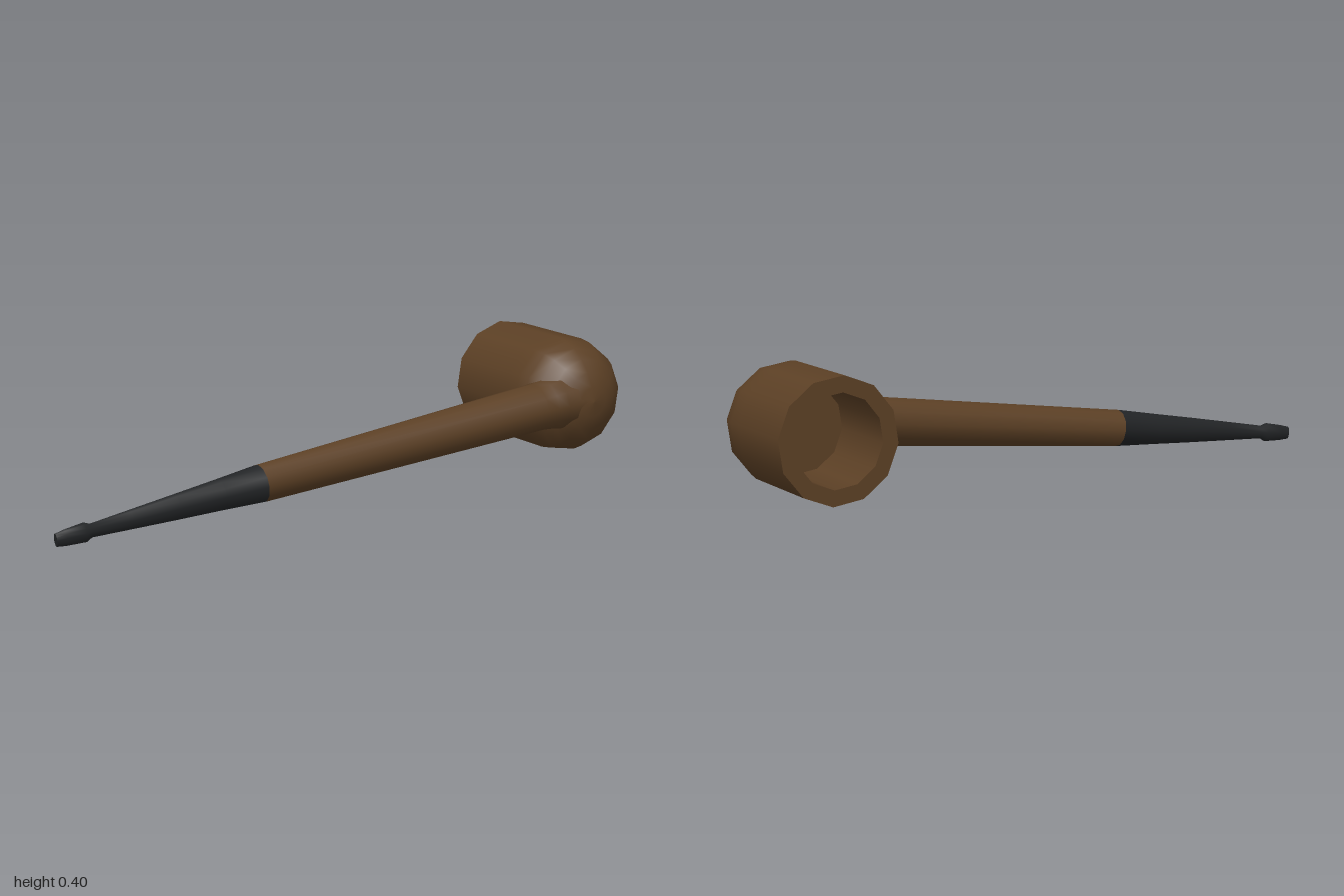
import * as THREE from 'three';
import { toCreasedNormals } from 'three/addons/utils/BufferGeometryUtils.js';

const SIDES = 12;

// Straight centre line shared by the stem and mouthpiece, given by z
const axisPoint = z => new THREE.Vector3(0.31 - 0.532 * (z + 0.51), 0.209 - 0.1244 * (z + 0.51), z);
const along = new THREE.Vector3(-0.532, -0.1244, 1).normalize();
const across = new THREE.Vector3(0, 1, 0).cross(along).normalize();
const upward = along.clone().cross(across);

// Skin elliptical sections [z, half width, half height] along the centre line
function loft(sections, capEnd) {
  const pos = [], index = [];
  for (const [z, w, h] of sections) {
    for (let i = 0; i < SIDES; i++) {
      const a = (i / SIDES) * Math.PI * 2;
      const p = axisPoint(z)
        .addScaledVector(across, w * Math.cos(a))
        .addScaledVector(upward, h * Math.sin(a));
      pos.push(p.x, p.y, p.z);
    }
  }
  for (let r = 0; r < sections.length - 1; r++) {
    for (let i = 0; i < SIDES; i++) {
      const a = r * SIDES + i, b = r * SIDES + (i + 1) % SIDES;
      index.push(a, b, b + SIDES, a, b + SIDES, a + SIDES);
    }
  }
  if (capEnd) {
    const first = (sections.length - 1) * SIDES;
    for (let i = 1; i < SIDES - 1; i++) index.push(first, first + i, first + i + 1);
  }
  const g = new THREE.BufferGeometry();
  g.setAttribute('position', new THREE.Float32BufferAttribute(pos, 3));
  g.setIndex(index);
  g.computeVertexNormals();
  return g;
}

export function createModel() {
  const wood = new THREE.MeshStandardMaterial({ color: 0x5c4025 });
  wood.name = 'brown wood';
  const black = new THREE.MeshStandardMaterial({ color: 0x222426 });
  black.name = 'black mouthpiece';

  const model = new THREE.Group();
  model.name = 'smokingPipe';
  const add = (parent, name, geometry, material) => {
    const mesh = new THREE.Mesh(geometry, material);
    mesh.name = name;
    parent.add(mesh);
  };

  // Bowl lies on its side: local y points out of the opening, local z is up
  const bowl = new THREE.Group();
  bowl.name = 'bowl';
  const c = Math.cos(0.513), s = Math.sin(0.513);
  const frame = new THREE.Matrix4().makeBasis(
    new THREE.Vector3(s, 0, -c), new THREE.Vector3(-c, 0, -s), new THREE.Vector3(0, 1, 0));
  bowl.quaternion.setFromRotationMatrix(frame);
  bowl.position.set(0.307, 0.22, -0.678);
  model.add(bowl);

  const R = 0.186, HOLE = 0.138, TOP = 0.33, FLOOR = 0.06;
  const turn = points => new THREE.LatheGeometry(
    points.map(([r, y]) => new THREE.Vector2(r, y)), SIDES, -Math.PI / 30);

  // Domed outer wall
  const shell = [];
  for (let i = 0; i <= 6; i++) {
    const a = (i / 6) * Math.PI / 2;
    shell.push([R * Math.sin(a), -0.175 * Math.cos(a)]);
  }
  shell.push([R, 0.05], [R, TOP]);
  add(bowl, 'bowlWall', turn(shell), wood);

  // Rim and hollow chamber, separate so the edges stay sharp
  add(bowl, 'bowlRim', turn([[R, TOP], [HOLE, TOP]]), wood);
  add(bowl, 'chamberWall', turn([[HOLE, TOP], [HOLE, FLOOR]]), wood);
  add(bowl, 'chamberFloor', turn([[HOLE, FLOOR], [0, FLOOR]]), wood);

  // Tapered stem, flared where it enters the bowl
  add(model, 'stem', loft([
    [-0.62, 0.09, 0.09], [-0.555, 0.09, 0.09], [-0.525, 0.082, 0.082],
    [-0.49, 0.077, 0.077], [0.4, 0.055, 0.058],
  ], false), wood);

  // Mouthpiece flattens toward a raised lip
  add(model, 'mouthpiece', toCreasedNormals(loft([
    [0.4, 0.055, 0.058], [0.52, 0.041, 0.049], [0.65, 0.028, 0.04],
    [0.78, 0.02, 0.03], [0.895, 0.015, 0.021],
    [0.912, 0.021, 0.03], [0.965, 0.014, 0.025], [0.992, 0.011, 0.02],
  ], true), 0.8), black);

  return model;
}
